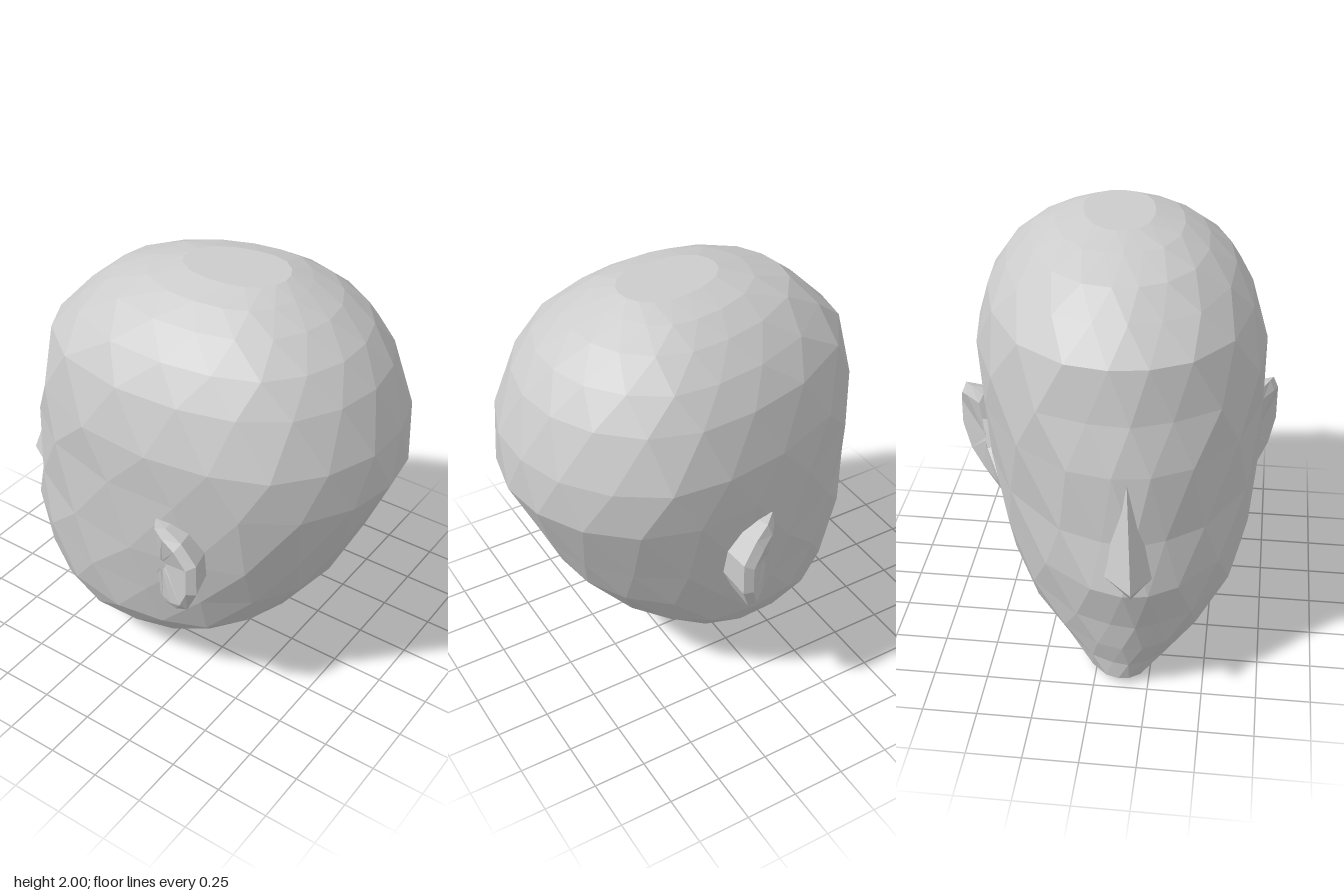
import * as THREE from 'three';

const SKEW = 0.15; // the head is turned slightly towards +z

// Local head space (nose along -x, symmetric in z) to model space.
const turn = (x, y, z) => [x + SKEW * z, y, z - SKEW * (x - 0.2)];

function facetedMesh(name, triangles, side = THREE.FrontSide) {
  const geometry = new THREE.BufferGeometry();
  geometry.setAttribute('position', new THREE.Float32BufferAttribute(triangles.flat(), 3));
  geometry.computeVertexNormals();
  const material = new THREE.MeshStandardMaterial({ color: 0xcccccc, flatShading: true, side });
  const mesh = new THREE.Mesh(geometry, material);
  mesh.name = name;
  return mesh;
}

// Egg-shaped plan outline, from the face round to the back of the skull.
const half = [[-1, 0], [-0.95, 0.28], [-0.83, 0.6], [-0.46, 0.89], [-0.05, 1],
  [0.3, 1], [0.6, 0.91], [0.82, 0.66], [0.96, 0.34], [1, 0]];
const outline = new THREE.CatmullRomCurve3(
  [...half, ...half.slice(1, -1).reverse().map(([u, w]) => [u, -w])]
    .map(([u, w]) => new THREE.Vector3(u, 0, w)), true);

// Skull cross-sections: height, face x, back x, half width, z shift, narrowing of the face.
const sections = [
  [0.005, -0.58, -0.28, 0.09, 0.01, 0],
  [0.035, -0.72, -0.07, 0.19, 0.0, 0.1],
  [0.13, -0.74, 0.18, 0.31, 0.02, 0.2],
  [0.25, -0.77, 0.37, 0.45, 0.035, 0.28],
  [0.4, -0.81, 0.54, 0.54, 0.045, 0.3],
  [0.62, -0.865, 0.70, 0.59, 0.04, 0.33],
  [0.86, -0.83, 0.82, 0.632, 0.035, 0.25],
  [1.18, -0.79, 0.95, 0.66, 0.022, 0.1],
  [1.4, -0.745, 0.94, 0.668, 0.02, 0.04],
  [1.64, -0.69, 0.845, 0.6, 0.015, 0],
  [1.78, -0.565, 0.75, 0.515, 0.015, 0],
  [1.89, -0.43, 0.61, 0.4, 0.01, 0],
  [1.96, -0.25, 0.48, 0.29, 0.01, 0],
  [2.0, -0.09, 0.39, 0.16, 0.01, 0],
];

function createSkull() {
  const n = 18;
  const rings = sections.map(([y, front, back, width, shift, taper], i) => {
    const pts = Array.from({ length: n }, (_, j) => outline.getPoint((j + (i % 2) * 0.5) / n));
    const maxU = Math.max(...pts.map((p) => p.x));
    const minU = Math.min(...pts.map((p) => p.x));
    return pts.map((p) => {
      const narrow = 1 - taper * Math.min(0, p.x) ** 2;
      const x = front + (back - front) * (p.x - minU) / (maxU - minU);
      return turn(x, y, p.z * width * narrow + shift);
    });
  });
  const tris = [];
  for (let i = 0; i < rings.length - 1; i++) {
    const lo = rings[i], hi = rings[i + 1];
    for (let j = 0; j < n; j++) {
      const k = (j + 1) % n;
      // staggered rows alternate the diagonal
      if (i % 2) tris.push(lo[j], hi[k], hi[j], lo[j], lo[k], hi[k]);
      else tris.push(lo[j], lo[k], hi[j], lo[k], hi[k], hi[j]);
    }
  }
  // underside of the chin and crown
  const bottom = rings[0], top = rings[rings.length - 1];
  for (let j = 1; j < n - 1; j++) {
    tris.push(bottom[0], bottom[j + 1], bottom[j], top[0], top[j], top[j + 1]);
  }
  return facetedMesh('head', tris);
}

function createNose() {
  const bridge = [-0.775, 1.2, 0.15], tip = [-0.96, 0.7, 0.19], base = [-0.865, 0.61, 0.18];
  const sideA = [-0.82, 0.7, 0.05], sideB = [-0.79, 0.7, 0.29];
  return facetedMesh('nose', [
    bridge, sideA, tip, bridge, tip, sideB,
    sideA, base, tip, tip, base, sideB,
  ], THREE.DoubleSide);
}

// Outer rim of an ear, from its upper front round to the lobe.
const rim = [[0.10, 1.09, 0.67], [0.18, 1.10, 0.73], [0.27, 1.07, 0.76], [0.345, 0.98, 0.77],
  [0.345, 0.82, 0.77], [0.28, 0.68, 0.73], [0.19, 0.60, 0.67], [0.10, 0.56, 0.61], [0.02, 0.61, 0.59]];

function createEar(name, sign) {
  const cx = 0.12, cy = 0.83;
  const loop = (scale, depth) => rim.map(([x, y, z]) =>
    turn(cx + (x - cx) * scale, cy + (y - cy) * scale, sign * depth(z)));
  // back of ear, rim, inner edge, hollow
  const loops = [loop(0.86, () => 0.54), loop(1, (z) => z - 0.015),
    loop(0.82, (z) => z + 0.005), loop(0.1, () => 0.655)];
  const tris = [];
  for (let i = 0; i < loops.length - 1; i++) {
    for (let j = 0; j < rim.length - 1; j++) {
      const a = loops[i][j], b = loops[i][j + 1], c = loops[i + 1][j], d = loops[i + 1][j + 1];
      if (sign > 0) tris.push(a, c, b, b, c, d);
      else tris.push(a, b, c, b, d, c);
    }
  }
  const ear = facetedMesh(name, tris, THREE.DoubleSide);
  ear.position.z = 0.02;
  return ear;
}

export function createModel() {
  const group = new THREE.Group();
  group.name = 'lowPolyHead';
  group.add(createSkull(), createNose(), createEar('nearEar', 1), createEar('farEar', -1));
  return group;
}
